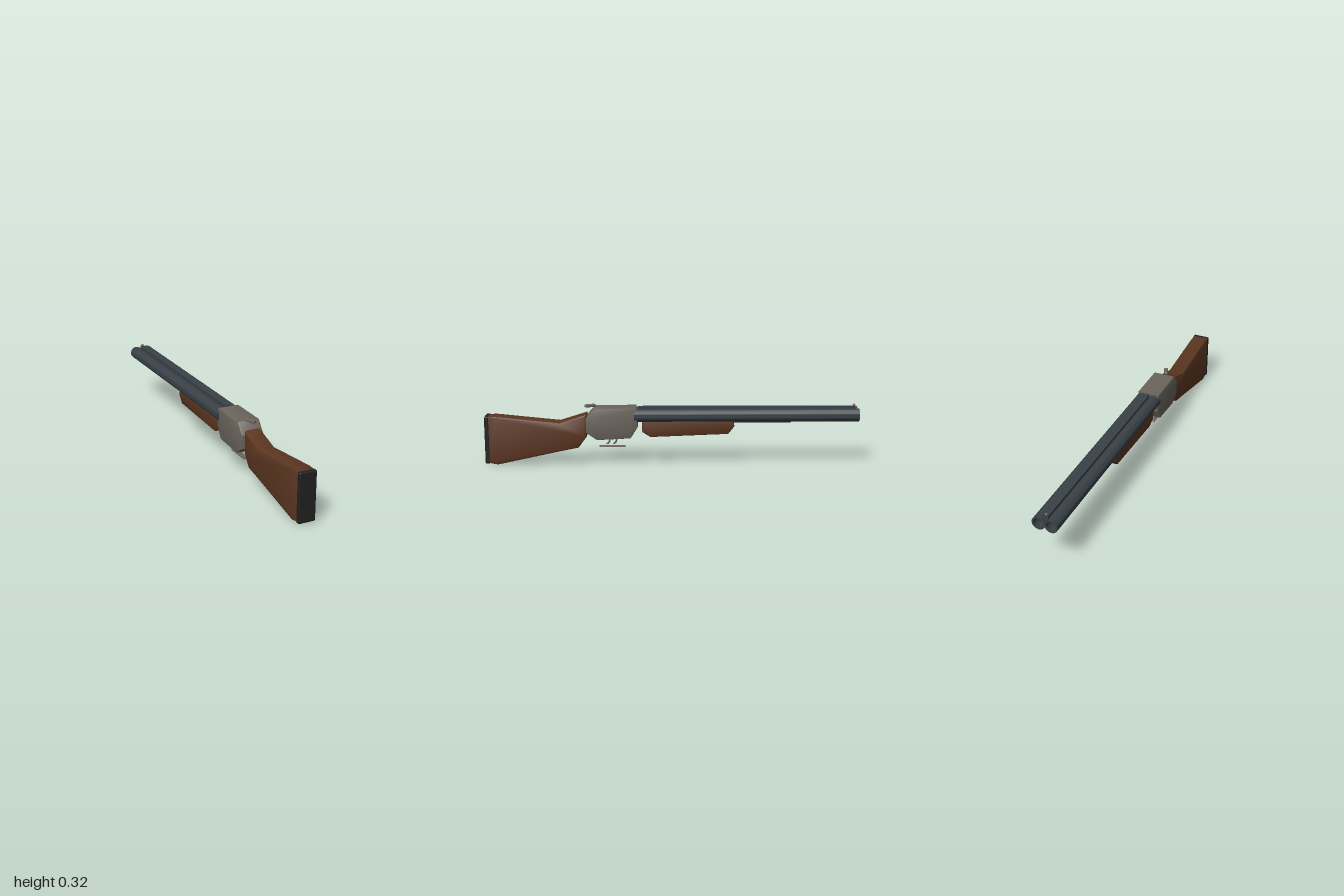
import * as THREE from 'three';
import { toCreasedNormals } from 'three/addons/utils/BufferGeometryUtils.js';
import { RoundedBoxGeometry } from 'three/addons/geometries/RoundedBoxGeometry.js';

function paint(name, hex) {
  const m = new THREE.MeshStandardMaterial({ color: hex });
  m.name = name;
  return m;
}

// Side profile of [z, y] points, extruded across x with softened edges
function profileSolid(points, width, bevel) {
  const shape = new THREE.Shape(points.map(([z, y]) => new THREE.Vector2(z, y)));
  const depth = width - 2 * bevel;
  const g = new THREE.ExtrudeGeometry(shape, {
    depth, bevelEnabled: true, bevelThickness: bevel, bevelSize: bevel,
    bevelOffset: -bevel, bevelSegments: 2, steps: 1,
  });
  g.translate(0, 0, -depth / 2);
  g.rotateY(-Math.PI / 2);
  return toCreasedNormals(g, 0.6);
}

export function createModel() {
  const group = new THREE.Group();
  group.name = 'doubleBarrelGun';
  const wood = paint('walnut', 0x5c3621);
  const steel = paint('receiverSteel', 0x6b655c);
  const blued = paint('bluedSteel', 0x394147);
  const rubber = paint('blackRubber', 0x222222);
  const brass = paint('brass', 0x9a5a30);

  function add(name, geometry, material, x = 0, y = 0, z = 0) {
    const mesh = new THREE.Mesh(geometry, material);
    mesh.name = name;
    mesh.position.set(x, y, z);
    group.add(mesh);
    return mesh;
  }

  // Stock and butt pad
  add('stock', profileSolid([
    [0.985, 0.012], [0.985, 0.265], [0.94, 0.267], [0.6, 0.232], [0.455, 0.277],
    [0.455, 0.155], [0.5, 0.094], [0.61, 0.072], [0.935, 0.002],
  ].reverse(), 0.09, 0.01), wood);
  add('buttPad', new RoundedBoxGeometry(0.092, 0.259, 0.025, 2, 0.007), rubber, 0, 0.137, 0.9875);

  // Receiver
  add('receiver', profileSolid([
    [0.46, 0.255], [0.412, 0.31], [0.19, 0.31], [0.182, 0.21],
    [0.22, 0.149], [0.4, 0.14], [0.457, 0.18],
  ], 0.12, 0.005), steel);

  // Top lever, turned slightly aside
  const lever = add('topLever', new RoundedBoxGeometry(0.02, 0.016, 0.058, 2, 0.005), steel, 0, 0.317, 0.437);
  lever.rotation.y = 0.4;

  // Side-by-side hollow barrels, muzzles at -z
  const r = 0.035, bore = 0.027, length = 1.2;
  const barrel = new THREE.LatheGeometry([
    [0, 0], [r, 0], [r, length], [bore, length], [bore, 0.02], [0, 0.02],
  ].map(([a, b]) => new THREE.Vector2(a, b)), 28);
  barrel.rotateX(-Math.PI / 2);
  const barrelGeometry = toCreasedNormals(barrel, 0.6);
  for (const side of [-1, 1]) {
    add(side > 0 ? 'leftBarrel' : 'rightBarrel', barrelGeometry, blued, side * 0.033, 0.27, 0.2);
  }

  // Sighting rib and front bead
  add('topRib', new THREE.BoxGeometry(0.024, 0.03, 1.165), blued, 0, 0.298, -0.4025);
  add('frontBead', new THREE.SphereGeometry(0.007, 12, 8), brass, 0, 0.318, -0.978);

  // Rod below the barrels
  const rod = new THREE.CylinderGeometry(0.012, 0.012, 0.74, 16);
  rod.rotateX(Math.PI / 2);
  add('lowerRod', rod, blued, 0, 0.235, -0.27);

  // Fore-end
  add('foreEnd', profileSolid([
    [0.16, 0.242], [-0.33, 0.242], [-0.335, 0.21], [-0.302, 0.168],
    [0.115, 0.152], [0.158, 0.18],
  ], 0.09, 0.008), wood);

  // Two curved triggers above the guard plate
  for (const [i, z] of [0.338, 0.302].entries()) {
    const curve = new THREE.CatmullRomCurve3([
      [0.005, 0.15], [-0.004, 0.133], [-0.001, 0.119], [0.009, 0.109],
    ].map(([dz, y]) => new THREE.Vector3(0, y, z + dz)));
    add(i ? 'frontTrigger' : 'rearTrigger', new THREE.TubeGeometry(curve, 10, 0.005, 8), steel);
    add('triggerTip', new THREE.SphereGeometry(0.005, 8, 6), steel, 0, 0.109, z + 0.009);
  }
  add('triggerGuard', new RoundedBoxGeometry(0.024, 0.008, 0.14, 2, 0.003), steel, 0, 0.094, 0.32);

  return group;
}
